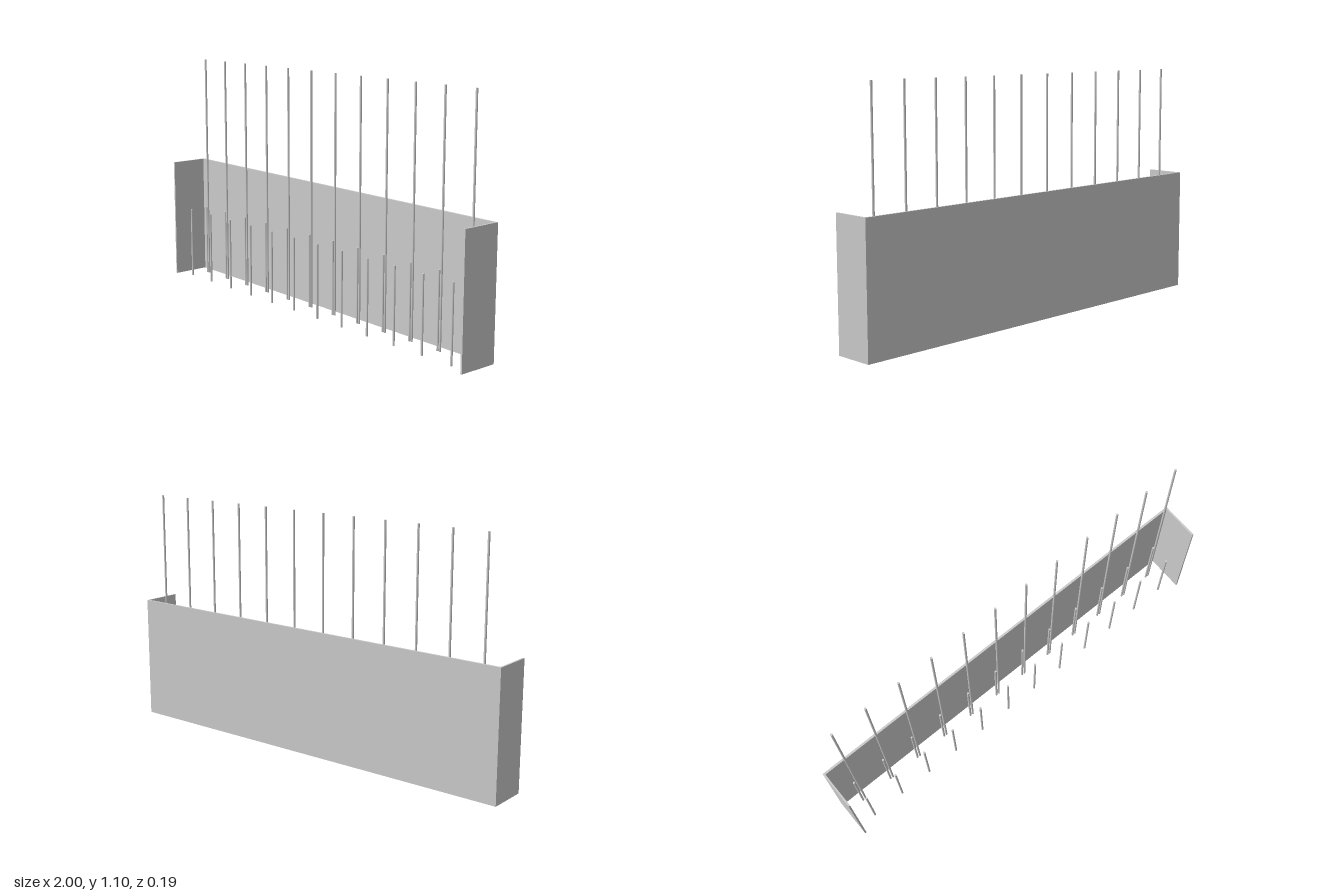
import * as THREE from 'three';

export function createModel() {
  const group = new THREE.Group();
  const material = new THREE.MeshStandardMaterial({ color: 0xcccccc });
  const HEIGHT = 0.58, DEPTH = 0.186, WALL = 0.01;

  const add = (name, geometry, x, y, z) => {
    const mesh = new THREE.Mesh(geometry, material);
    mesh.name = name;
    mesh.position.set(x, y, z);
    group.add(mesh);
  };

  // Three-sided tray: back panel and two end panels
  add('backPanel', new THREE.BoxGeometry(2, HEIGHT, WALL), 0, HEIGHT / 2, -DEPTH / 2 + WALL / 2);
  for (const side of [-1, 1]) {
    add(side > 0 ? 'leftEndPanel' : 'rightEndPanel',
      new THREE.BoxGeometry(0.008, HEIGHT, DEPTH - WALL),
      side * 0.996, HEIGHT / 2, WALL / 2);
  }

  // Upright bars, each standing on y = 0
  const R = 0.005, TALL = 1.1, SHORT = 0.345;
  const tallBar = new THREE.CylinderGeometry(R, R, TALL, 12);
  const shortBar = new THREE.CylinderGeometry(R, R, SHORT, 12);

  // Twelve sets: a tall bar beside a short one at the back, a short one in front
  for (let i = 0; i < 12; i++) {
    const x = -0.895 + i * 0.1649;
    add('tallBar', tallBar, x, TALL / 2, -0.041);
    add('backStarterBar', shortBar, x - 0.014, SHORT / 2, -0.041);
    add('frontStarterBar', shortBar, x - 0.014, SHORT / 2, 0.051);
  }
  return group;
}
